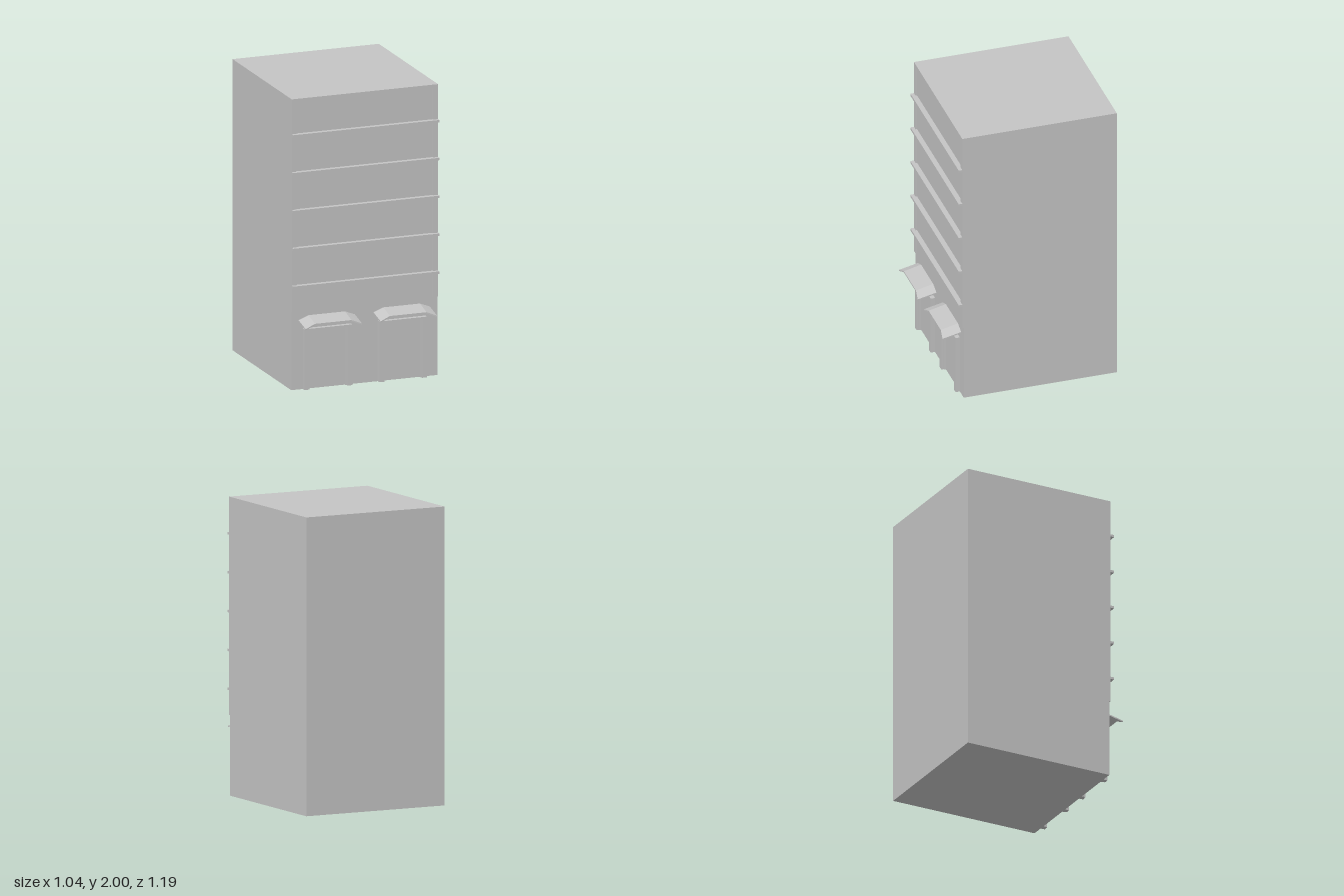
import * as THREE from 'three';

const FRONT = 0.465; // plane of the main facade
const W = 0.52;      // half width of the building

export function createModel() {
  const group = new THREE.Group();
  const concrete = new THREE.MeshStandardMaterial({ color: 0xc4c4c4 });
  concrete.name = 'concrete grey';

  const add = (parent, name, geometry) => {
    const mesh = new THREE.Mesh(geometry, concrete);
    mesh.name = name;
    parent.add(mesh);
    return mesh;
  };
  // box given by its limits
  const box = (parent, name, x0, x1, y0, y1, z0, z1) =>
    add(parent, name, new THREE.BoxGeometry(x1 - x0, y1 - y0, z1 - z0)
      .translate((x0 + x1) / 2, (y0 + y1) / 2, (z0 + z1) / 2));
  const polygon = (points) => new THREE.Shape(points.map(([x, y]) => new THREE.Vector2(x, y)));
  const extrude = (shape, depth) => new THREE.ExtrudeGeometry(shape, { depth, bevelEnabled: false });

  box(group, 'buildingBody', -W, W, 0, 2, -0.6, FRONT);

  // shallow border around the upper storeys, open at the bottom
  const border = polygon([[-W, 0.54], [-0.485, 0.54], [-0.485, 1.975], [0.485, 1.975],
    [0.485, 0.54], [W, 0.54], [W, 2], [-W, 2]]);
  add(group, 'facadeBorder', extrude(border, 0.01)).position.z = FRONT;

  // one ledge per storey
  for (let i = 0; i < 5; i++) {
    const y = 0.712 + i * 0.26;
    box(group, 'floorLedge', -W, W, y - 0.008, y + 0.008, FRONT, 0.5);
  }

  // arched canopy sloping down towards the front
  function canopyGeometry() {
    const top = [[-0.2, 0.476], [-0.13, 0.503], [0.13, 0.503], [0.2, 0.476]];
    const under = top.map(([x, y]) => [x, y - 0.009]).reverse();
    const geometry = extrude(polygon([...top, ...under]), 0.12);
    const p = geometry.attributes.position;
    for (let i = 0; i < p.count; i++) {
      const z = p.getZ(i);
      const flare = z > 0 && Math.abs(p.getX(i)) > 0.15 ? 0.01 : 0;
      p.setXYZ(i, p.getX(i), p.getY(i) - z * 0.24, FRONT + z + flare);
    }
    geometry.computeVertexNormals();
    return geometry;
  }

  // two doorways with surround, inner trim and canopy
  for (const x of [-0.268, 0.265]) {
    const doorway = new THREE.Group();
    doorway.name = 'doorway';
    doorway.position.x = x;
    group.add(doorway);

    const surround = polygon([[-0.17, 0], [-0.135, 0], [-0.135, 0.404], [0.135, 0.404],
      [0.135, 0], [0.17, 0], [0.17, 0.417], [-0.17, 0.417]]);
    add(doorway, 'doorSurround', extrude(surround, 0.03)).position.z = FRONT;

    const trim = polygon([[-0.135, 0], [-0.129, 0], [-0.129, 0.398], [0.129, 0.398],
      [0.129, 0], [0.135, 0], [0.135, 0.404], [-0.135, 0.404]]);
    add(doorway, 'doorTrim', extrude(trim, 0.015)).position.z = FRONT;

    add(doorway, 'doorCanopy', canopyGeometry());
  }
  return group;
}
